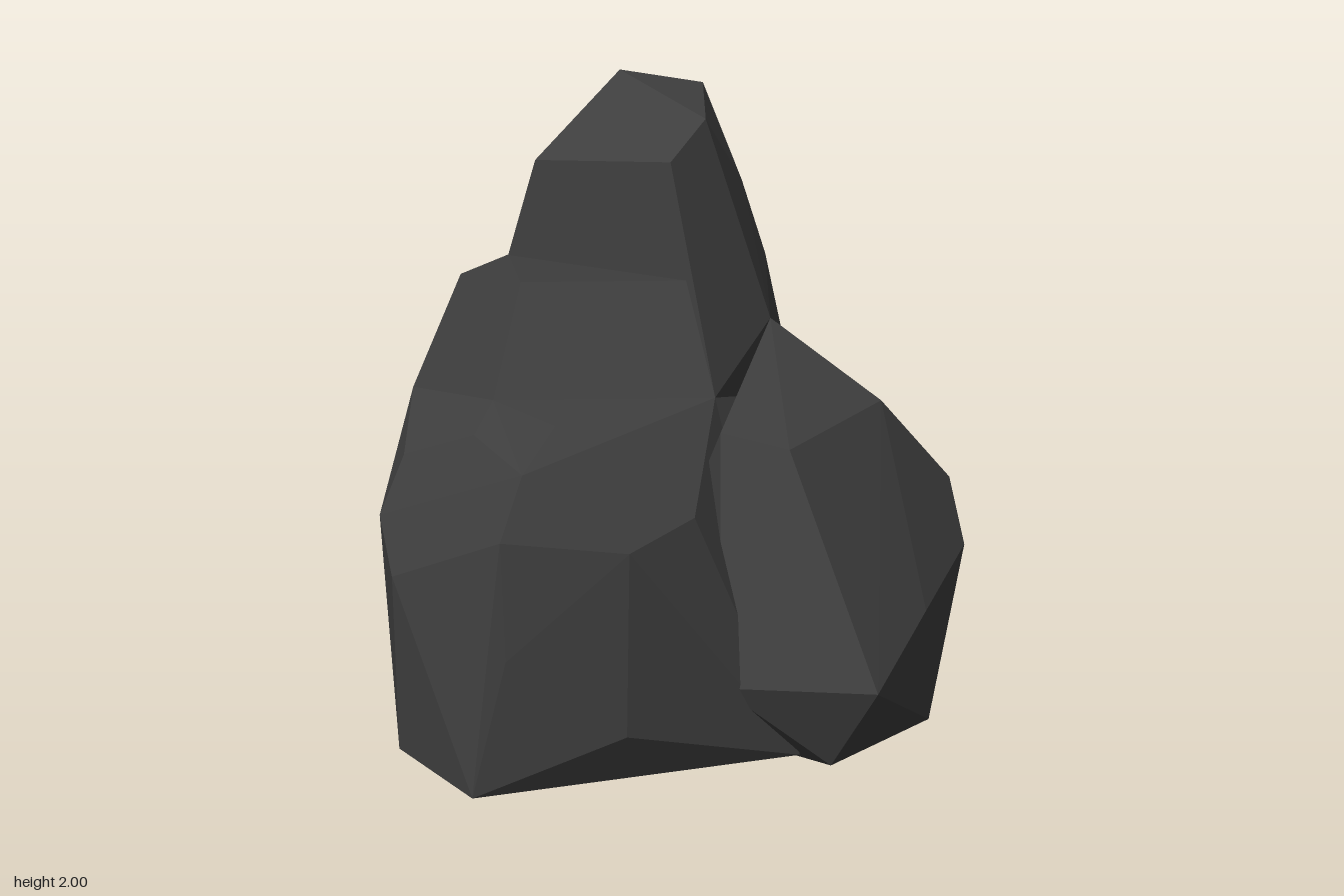
import * as THREE from 'three';
import { ConvexGeometry } from 'three/addons/geometries/ConvexGeometry.js';

// Each lump of the boulder is a faceted hull around its corner points [x, y, z].
const lumps = {
  tower: [
    [-0.23, 2.0, -0.44], [-0.02, 1.96, -0.58], [0.19, 1.92, -0.22],
    [0.2, 1.83, 0], [-0.26, 1.79, -0.01], [-0.26, 1.89, -0.25],
    [-0.34, 1.5, 0.01], [0.29, 1.5, 0.01], [0.06, 1.65, -0.69], [-0.12, 1.65, -0.64],
    [0.38, 1.18, 0.05], [-0.45, 1.15, 0.03], [-0.45, 1.36, -0.28],
    [0.36, 1.33, -0.32], [0.11, 1.41, -0.76], [0.19, 0.95, -0.83],
    [-0.27, 1.36, -0.5], [-0.2, 1.0, -0.8],
  ],
  frontLedge: [
    [-0.35, 1.5, 0], [0.29, 1.5, 0], [-0.06, 1.53, 0.38], [-0.33, 1.5, 0.28],
    [-0.07, 1.22, 0.51], [0.38, 1.18, 0.05], [-0.42, 1.18, 0.4], [-0.45, 1.15, 0],
    [0.3, 1.0, -0.1],
  ],
  frontBulge: [
    [-0.27, 1.07, 0.66], [-0.02, 1.17, 0.68], [0.2, 1.12, 0.78], [0.18, 0.95, 0.86],
    [0.2, 0.62, 0.87], [0.14, 0.24, 0.95], [-0.18, 0.27, 0.84], [-0.19, 0.78, 0.84],
    [-0.3, 0.91, 0.74], [-0.42, 1.18, 0.4], [-0.07, 1.22, 0.51], [0.14, 1.18, 0.52],
    [0.43, 0.89, 0.61], [0.49, 0.93, 0.36], [0.43, 0.36, 0.62], [0.54, 0.41, 0.29],
    [0.38, 1.18, 0.05], [-0.35, 0.3, 0.62], [0.25, 0.23, 0.58], [-0.45, 0.86, 0.42],
    [-0.45, 1.17, 0], [-0.45, 0.7, 0], [0.68, 0.15, 0.06], [0.24, 0.14, 0.03],
    [-0.3, 0.16, 0.05],
  ],
  leftBody: [
    [-0.94, 0.16, -0.7], [-0.91, 0.09, -0.68], [-0.89, 0.65, -0.6], [-0.84, 1.07, -0.55],
    [-0.76, 1.28, -0.43], [-0.52, 1.34, -0.55], [-0.27, 1.38, -0.5], [-0.45, 1.36, -0.28],
    [-0.28, 1.22, -0.82], [-0.35, 1.03, -0.94], [-0.55, 0.82, -0.94], [-0.58, 0.28, -0.93],
    [-0.7, 0.15, -0.84], [-0.76, 0.95, -0.06], [-0.45, 0.86, 0.42],
    [-0.76, 0.28, -0.1], [-0.57, 0.21, 0.1], [-0.35, 0.28, 0.6], [0.19, 0, -0.26],
    [0.1, 1.3, -0.79], [0.19, 0.95, -0.84],
    [0.29, 0.22, -0.95], [0.29, 0.12, -0.9], [0.1, 0.8, 0.2],
  ],
  rightBody: [
    [0.36, 1.33, -0.32], [0.68, 1.1, -0.42], [0.63, 1.07, 0.07], [0.48, 1.13, 0.2],
    [0.93, 0.4, 0.08], [0.54, 0.41, 0.29], [0.91, 0.53, -0.28], [0.85, 0.6, -0.69],
    [0.77, 0.79, -0.74], [0.19, 0.95, -0.83], [0.29, 0.22, -0.94],
    [0.82, 0.07, -0.54], [0.78, 0.14, 0.06], [0.24, 0.07, -0.12],
    [0.1, 0.3, 0.1],
  ],
};

export function createModel() {
  const stone = new THREE.MeshStandardMaterial({ color: 0x3e3e3e });
  stone.name = 'darkStone';
  const rock = new THREE.Group();
  rock.name = 'boulder';
  for (const [name, corners] of Object.entries(lumps)) {
    const points = corners.map((c) => new THREE.Vector3(...c));
    const mesh = new THREE.Mesh(new ConvexGeometry(points), stone);
    mesh.name = name;
    rock.add(mesh);
  }
  return rock;
}
